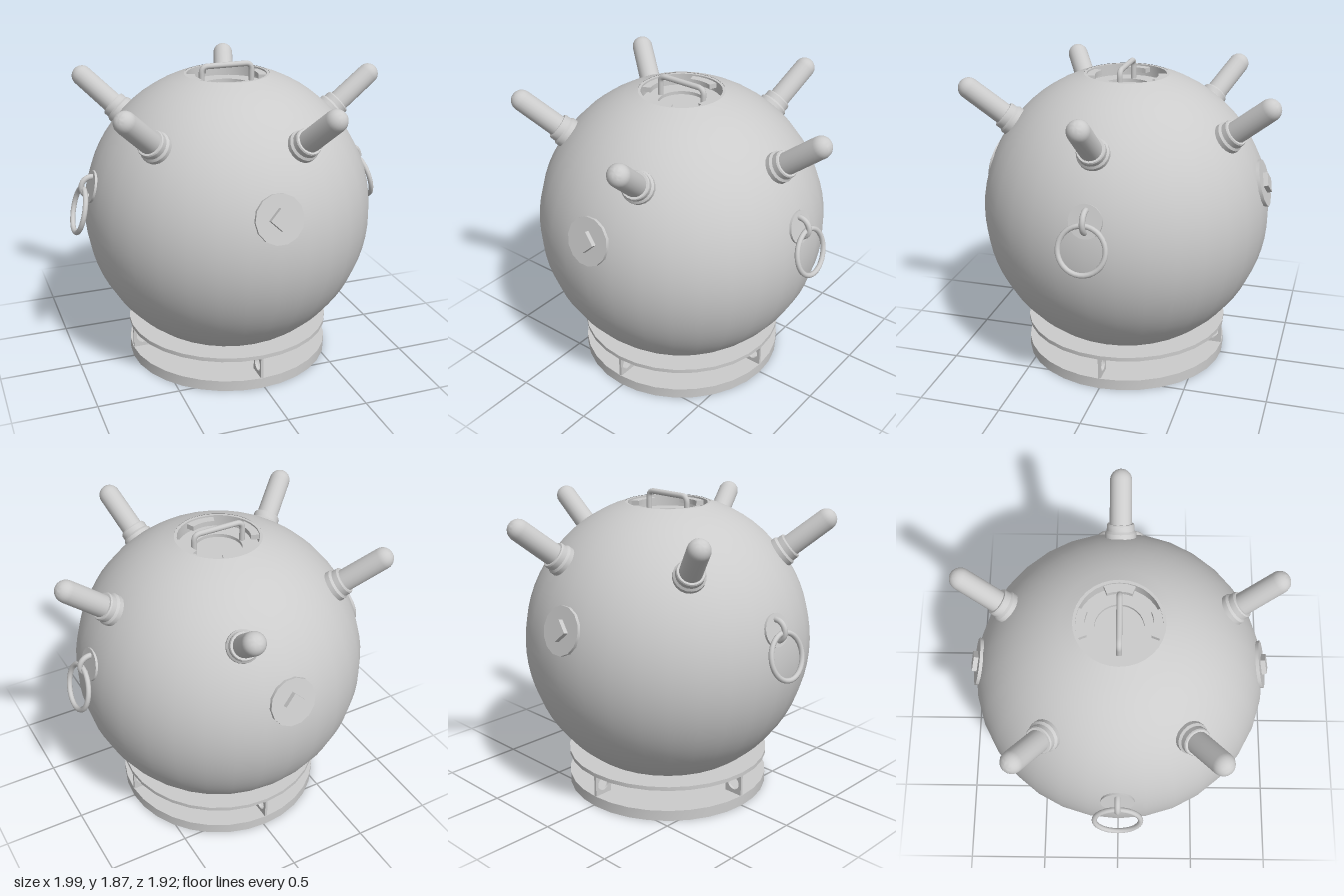
import * as THREE from 'three';
import { toCreasedNormals } from 'three/addons/utils/BufferGeometryUtils.js';

const material = new THREE.MeshStandardMaterial({ color: 0xcccccc, side: THREE.DoubleSide });
const CENTRE_Y = 0.96;
const RADIUS = 0.885;

function part(name, geometry, parent) {
  const mesh = new THREE.Mesh(geometry, material);
  mesh.name = name;
  parent.add(mesh);
  return mesh;
}

function lathe(points, segments, crease = 0.5) {
  const geometry = new THREE.LatheGeometry(points.map(([r, y]) => new THREE.Vector2(r, y)), segments);
  return toCreasedNormals(geometry, crease);
}

// Holder at the hull centre whose +y axis points out along azimuth and elevation (degrees)
function radialGroup(name, azimuth, elevation, parent) {
  const group = new THREE.Group();
  group.name = name;
  group.position.y = CENTRE_Y;
  group.rotation.set(0, THREE.MathUtils.degToRad(azimuth), THREE.MathUtils.degToRad(elevation - 90));
  parent.add(group);
  return group;
}

function addHull(parent) {
  // Sphere truncated at the top by the hatch opening
  const rim = Math.asin(0.257 / RADIUS);
  const profile = [];
  for (let i = 0; i <= 32; i++) {
    const a = (i / 32) * (Math.PI - rim);
    profile.push([RADIUS * Math.sin(a), CENTRE_Y - RADIUS * Math.cos(a)]);
  }
  part('hull', lathe(profile, 32), parent);
}

function addHatch(parent) {
  // Rim, recess wall, floor and shallow centre well
  part('hatchRecess', lathe([
    [0.257, 1.805], [0.24, 1.805], [0.24, 1.735], [0.14, 1.735], [0.14, 1.715], [0, 1.715],
  ], 32), parent);

  // Four locking tabs below the rim
  const half = 0.38;
  const shape = new THREE.Shape();
  shape.absarc(0, 0, 0.242, -half, half, false);
  shape.absarc(0, 0, 0.19, half, -half, true);
  const tab = new THREE.ExtrudeGeometry(shape, { depth: 0.03, bevelEnabled: false, curveSegments: 6 });
  tab.rotateX(-Math.PI / 2);
  for (let i = 0; i < 4; i++) {
    const mesh = part('hatchTab', tab, parent);
    mesh.position.y = 1.765;
    mesh.rotation.y = i * Math.PI / 2;
  }

  // Lifting handle with rounded corners
  const v = (x, y) => new THREE.Vector3(x, y, 0);
  const w = 0.158, top = 1.853, r = 0.04;
  const path = new THREE.CurvePath();
  path.add(new THREE.LineCurve3(v(-w, 1.73), v(-w, top - r)));
  path.add(new THREE.QuadraticBezierCurve3(v(-w, top - r), v(-w, top), v(-w + r, top)));
  path.add(new THREE.LineCurve3(v(-w + r, top), v(w - r, top)));
  path.add(new THREE.QuadraticBezierCurve3(v(w - r, top), v(w, top), v(w, top - r)));
  path.add(new THREE.LineCurve3(v(w, top - r), v(w, 1.73)));
  part('hatchHandle', new THREE.TubeGeometry(path, 60, 0.017, 10), parent);
}

function addHorns(parent) {
  const collar = lathe([
    [0.094, 0.83], [0.094, 0.905], [0.083, 0.918], [0.083, 0.95], [0.078, 0.958], [0.06, 0.958],
  ], 20);
  // Rod with a domed tip
  const rodProfile = [[0.067, 0.84]];
  for (let i = 0; i <= 8; i++) {
    const a = (i / 8) * Math.PI / 2;
    rodProfile.push([0.065 * Math.cos(a), 1.213 + 0.065 * Math.sin(a)]);
  }
  const rod = lathe(rodProfile, 20);
  for (let i = 0; i < 5; i++) {
    const horn = radialGroup('horn', i * 72, 39, parent);
    part('hornCollar', collar, horn);
    part('hornRod', rod, horn);
  }
}

function addPlugs(parent) {
  // Front and back access plugs with a square key
  const disc = toCreasedNormals(new THREE.CylinderGeometry(0.144, 0.144, 0.06, 14), 0.6);
  const key = toCreasedNormals(new THREE.CylinderGeometry(0.064, 0.067, 0.06, 4), 0.3);
  for (const azimuth of [90, -90]) {
    const plug = radialGroup('plug', azimuth, 15, parent);
    part('plugDisc', disc, plug).position.y = 0.86;
    part('plugKey', key, plug).position.y = 0.888;
  }
}

function addLiftingRings(parent) {
  const pad = toCreasedNormals(new THREE.CylinderGeometry(0.098, 0.098, 0.05, 20), 0.6);
  const eye = new THREE.TorusGeometry(0.062, 0.017, 10, 20, Math.PI);
  const ring = new THREE.TorusGeometry(0.136, 0.0155, 10, 32);
  ring.rotateY(Math.PI / 2);
  for (const azimuth of [0, 180]) {
    const mount = radialGroup('ringMount', azimuth, 15, parent);
    part('ringPad', pad, mount).position.y = 0.864;
    part('ringEye', eye, mount).position.y = 0.88;

    // Loose ring hanging from the eye
    const side = new THREE.Group();
    side.name = 'liftingRing';
    side.rotation.y = THREE.MathUtils.degToRad(azimuth);
    parent.add(side);
    const hoop = part('ringHoop', ring, side);
    hoop.position.set(0.933, 1.05, 0);
    hoop.rotation.z = 0.262;
  }
}

function addStand(parent) {
  const disc = toCreasedNormals(new THREE.CylinderGeometry(0.637, 0.637, 0.067, 32), 0.5);
  part('standBase', disc, parent).position.y = 0.0335;

  // Upper ring closing against the hull
  part('standRing', lathe([
    [0.46, 0.2], [0.637, 0.2], [0.637, 0.225], [0.46, 0.225], [0.46, 0.2],
  ], 32), parent);

  // Four drilled web plates between base and ring
  const shape = new THREE.Shape();
  shape.moveTo(0.512, 0.06);
  shape.lineTo(0.634, 0.06);
  shape.lineTo(0.634, 0.205);
  shape.lineTo(0.512, 0.205);
  shape.closePath();
  const hole = new THREE.Path();
  hole.absarc(0.573, 0.135, 0.043, 0, Math.PI * 2, true);
  shape.holes.push(hole);
  const web = new THREE.ExtrudeGeometry(shape, { depth: 0.016, bevelEnabled: false, curveSegments: 16 });
  web.translate(0, 0, -0.008);
  for (let i = 0; i < 4; i++) part('standWeb', web, parent).rotation.y = i * Math.PI / 2;
}

export function createModel() {
  const model = new THREE.Group();
  model.name = 'navalMine';
  const body = new THREE.Group();
  body.name = 'body';
  body.position.x = -0.016;
  model.add(body);
  addHull(body);
  addHatch(body);
  addHorns(body);
  addPlugs(body);
  addLiftingRings(body);
  addStand(body);
  return model;
}
